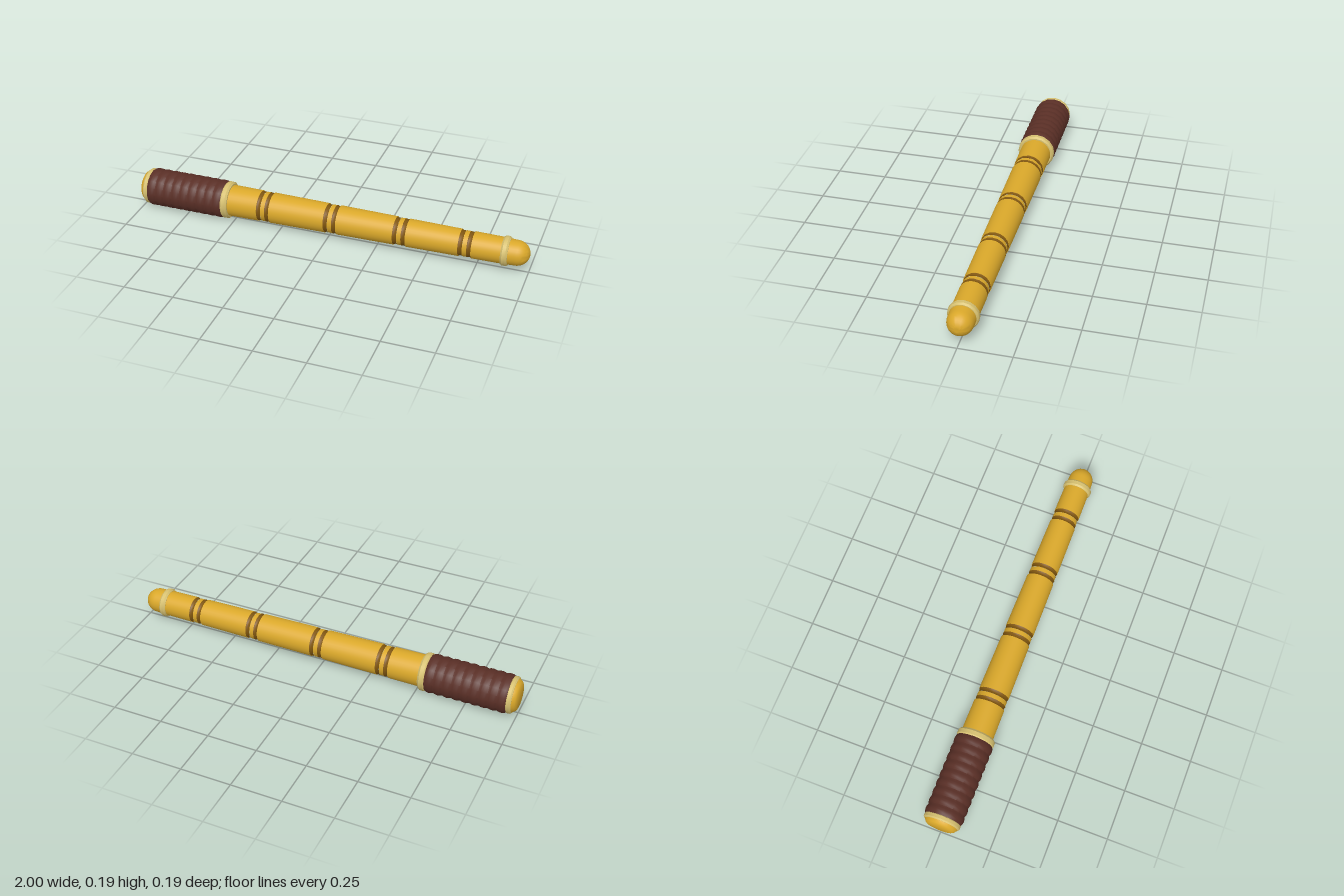
import * as THREE from 'three';
import { toCreasedNormals } from 'three/addons/utils/BufferGeometryUtils.js';

const AXIS_Y = 0.099;

function paint(name, hex) {
  const m = new THREE.MeshStandardMaterial({ color: hex });
  m.name = name;
  return m;
}

export function createModel() {
  const gold = paint('gold', 0xdaa82a);
  const cream = paint('paleGold', 0xd6c070);
  const bronze = paint('darkBronze', 0x80560f);
  const leather = paint('brownLeather', 0x5a2f26);

  const model = new THREE.Group();
  model.name = 'baton';

  // Turned part: profile points are [x along the baton, radius]
  function turned(name, material, profile, sides) {
    const pts = profile.map(([x, r]) => new THREE.Vector2(r, x));
    const geo = toCreasedNormals(new THREE.LatheGeometry(pts, sides), 0.6);
    geo.rotateZ(-Math.PI / 2);
    const mesh = new THREE.Mesh(geo, material);
    mesh.name = name;
    mesh.position.y = AXIS_Y;
    model.add(mesh);
  }

  // Collar with rounded edges
  function collar(name, x0, x1, r, inner, sides) {
    const b = (x1 - x0) * 0.25;
    turned(name, cream, [
      [x0, inner], [x0, r - b * 0.8], [x0 + b, r], [x1 - b, r], [x1, r - b * 0.8], [x1, inner],
    ], sides);
  }

  // Shaft radius tapers toward the tip
  const shaftRadius = (x) => THREE.MathUtils.mapLinear(x, -0.52, 0.88, 0.079, 0.064);

  // Butt cap
  turned('buttCap', gold, [
    [-1, 0], [-1, 0.062], [-0.994, 0.072], [-0.98, 0.082], [-0.965, 0.084],
  ], 32);
  collar('buttCollar', -0.98, -0.952, 0.091, 0.07, 16);

  // Grip with wrapped ridges
  const grip = [[-0.956, 0.07], [-0.956, 0.09]];
  const wraps = 9, steps = 4, start = -0.956, length = 0.404;
  for (let i = 1; i < wraps * steps; i++) {
    const t = i / (wraps * steps);
    grip.push([start + length * t, 0.0915 + 0.005 * Math.abs(Math.sin(Math.PI * wraps * t))]);
  }
  grip.push([start + length, 0.09], [start + length, 0.07]);
  turned('grip', leather, grip, 16);
  collar('gripCollar', -0.556, -0.518, 0.0945, 0.07, 16);

  // Shaft sections separated by pairs of dark grooves
  const joints = [-0.33, 0.02, 0.372, 0.695];
  const half = 0.032;
  let from = -0.53;
  [...joints, null].forEach((joint, i) => {
    const to = joint === null ? 0.89 : joint - half;
    turned('shaftSection' + (i + 1), gold, [
      [from, shaftRadius(from) - 0.006], [from, shaftRadius(from)],
      [to, shaftRadius(to)], [to, shaftRadius(to) - 0.006],
    ], 32);
    if (joint === null) return;

    const r = shaftRadius(joint);
    for (const side of [-1, 1]) {
      const c = joint + side * 0.0215;
      turned('jointRing', bronze, [
        [c - 0.0105, r - 0.001], [c - 0.004, r - 0.004], [c + 0.004, r - 0.004], [c + 0.0105, r - 0.001],
      ], 16);
    }
    turned('jointBand', gold, [
      [joint - 0.011, r - 0.006], [joint - 0.011, r - 0.003],
      [joint + 0.011, r - 0.003], [joint + 0.011, r - 0.006],
    ], 32);
    from = joint + half;
  });

  // Tip collar and rounded end
  collar('tipCollar', 0.868, 0.902, 0.0735, 0.05, 16);
  const tip = [[0.89, 0.063], [0.935, 0.0615]];
  for (let i = 1; i <= 10; i++) {
    const a = (i / 10) * Math.PI / 2;
    tip.push([0.935 + 0.065 * Math.sin(a), i === 10 ? 0 : 0.0615 * Math.cos(a)]);
  }
  turned('tip', gold, tip, 32);

  return model;
}
